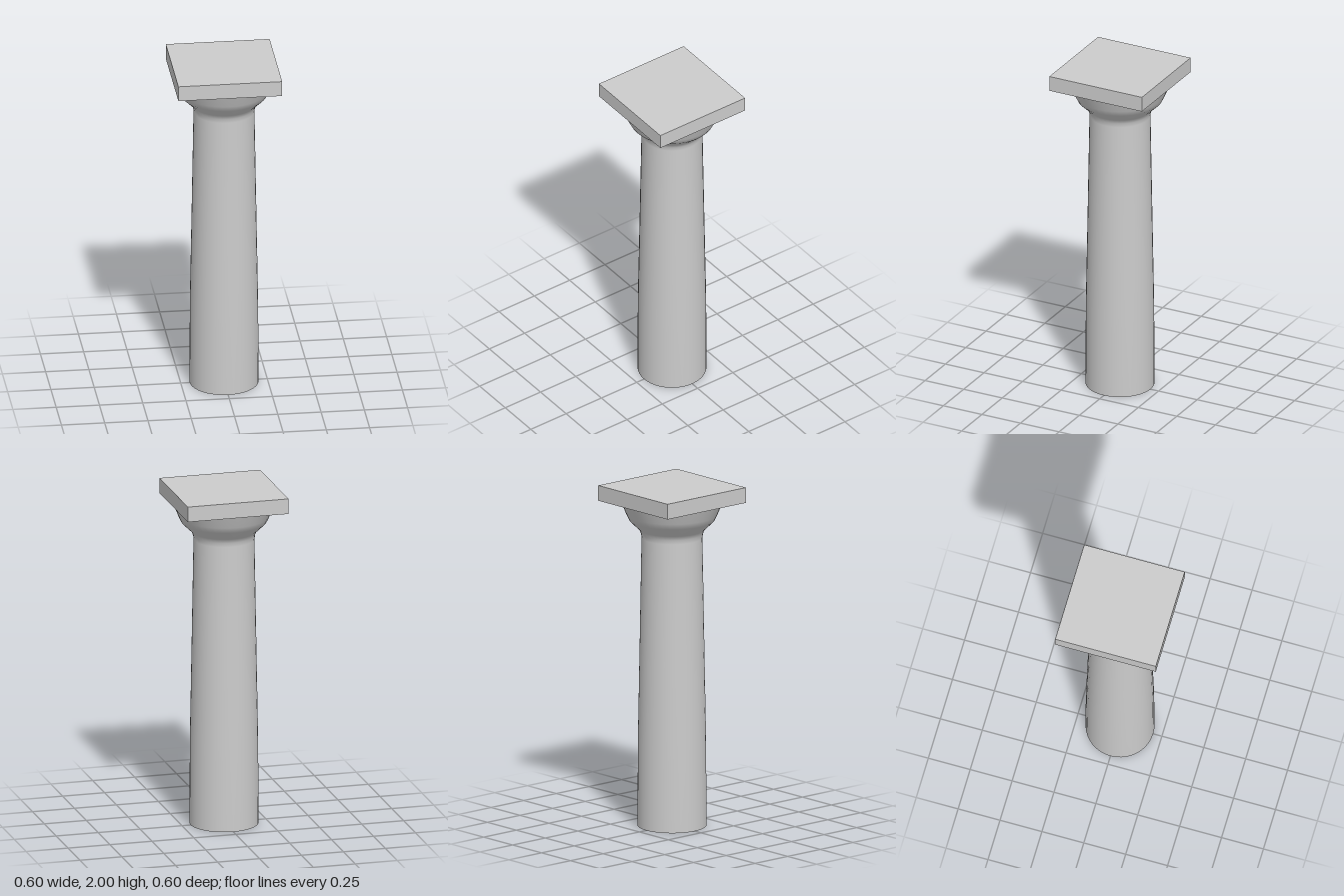
import * as THREE from 'three';

export function createModel() {
  const model = new THREE.Group();
  model.name = 'column';

  // Tapered shaft flaring into the rounded capital, open at the foot
  const profile = [
    [0.198, 0], [0.196, 0.5], [0.187, 1.0], [0.175, 1.7],
    [0.178, 1.725], [0.188, 1.75], [0.245, 1.805], [0.262, 1.84], [0.29, 1.91],
  ].map(([r, y]) => new THREE.Vector2(r, y));
  const shaft = new THREE.Mesh(
    new THREE.LatheGeometry(profile, 40),
    new THREE.MeshStandardMaterial({ color: 0xcccccc, side: THREE.DoubleSide })
  );
  shaft.name = 'shaftAndCapital';
  model.add(shaft);

  // Square slab on top
  const slab = new THREE.Mesh(
    new THREE.BoxGeometry(0.6, 0.09, 0.6),
    new THREE.MeshStandardMaterial({ color: 0xcccccc })
  );
  slab.name = 'topSlab';
  slab.position.y = 1.955;
  model.add(slab);

  return model;
}
